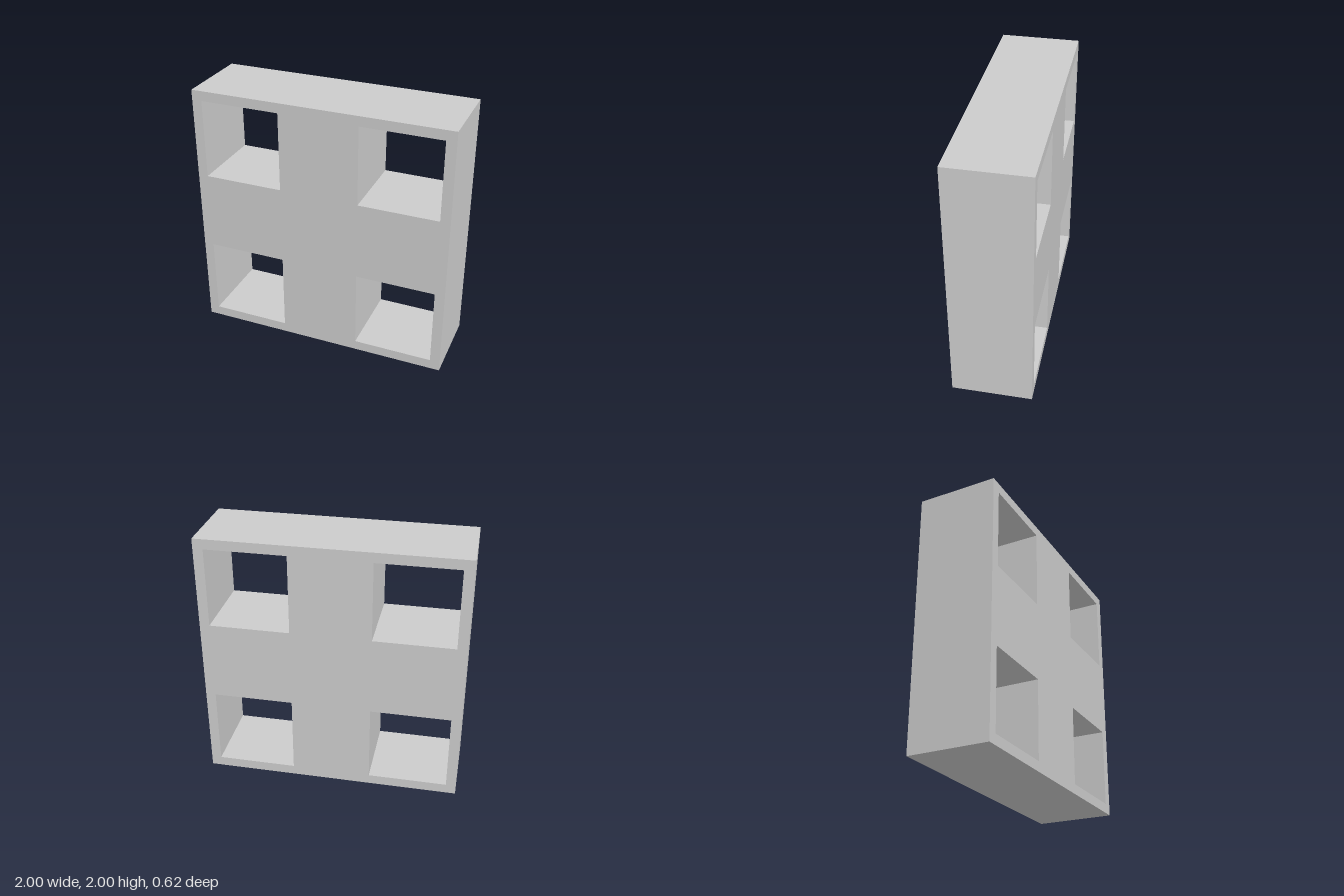
import * as THREE from 'three';

// Traces a centred square outline of the given side on a Shape or Path
function square(path, cx, cy, side) {
  const h = side / 2;
  path.moveTo(cx - h, cy - h);
  path.lineTo(cx + h, cy - h);
  path.lineTo(cx + h, cy + h);
  path.lineTo(cx - h, cy + h);
  path.closePath();
  return path;
}

export function createModel() {
  const group = new THREE.Group();
  group.name = 'piercedBlock';

  const unit = 2 / 13; // the block is 13 units wide and high, 4 deep
  const depth = 4 * unit;
  const holeSide = 4 * unit;
  const holeOffset = 4 * unit;

  // Square block with four square through-holes
  const outline = square(new THREE.Shape(), 0, 1, 2);
  for (const sx of [-1, 1]) {
    for (const sy of [-1, 1]) {
      outline.holes.push(square(new THREE.Path(), sx * holeOffset, 1 + sy * holeOffset, holeSide));
    }
  }

  const geometry = new THREE.ExtrudeGeometry(outline, { depth, bevelEnabled: false });
  geometry.translate(0, 0, -depth / 2);

  const block = new THREE.Mesh(
    geometry,
    new THREE.MeshStandardMaterial({ color: 0xcccccc, flatShading: true })
  );
  block.name = 'block';
  group.add(block);
  return group;
}
